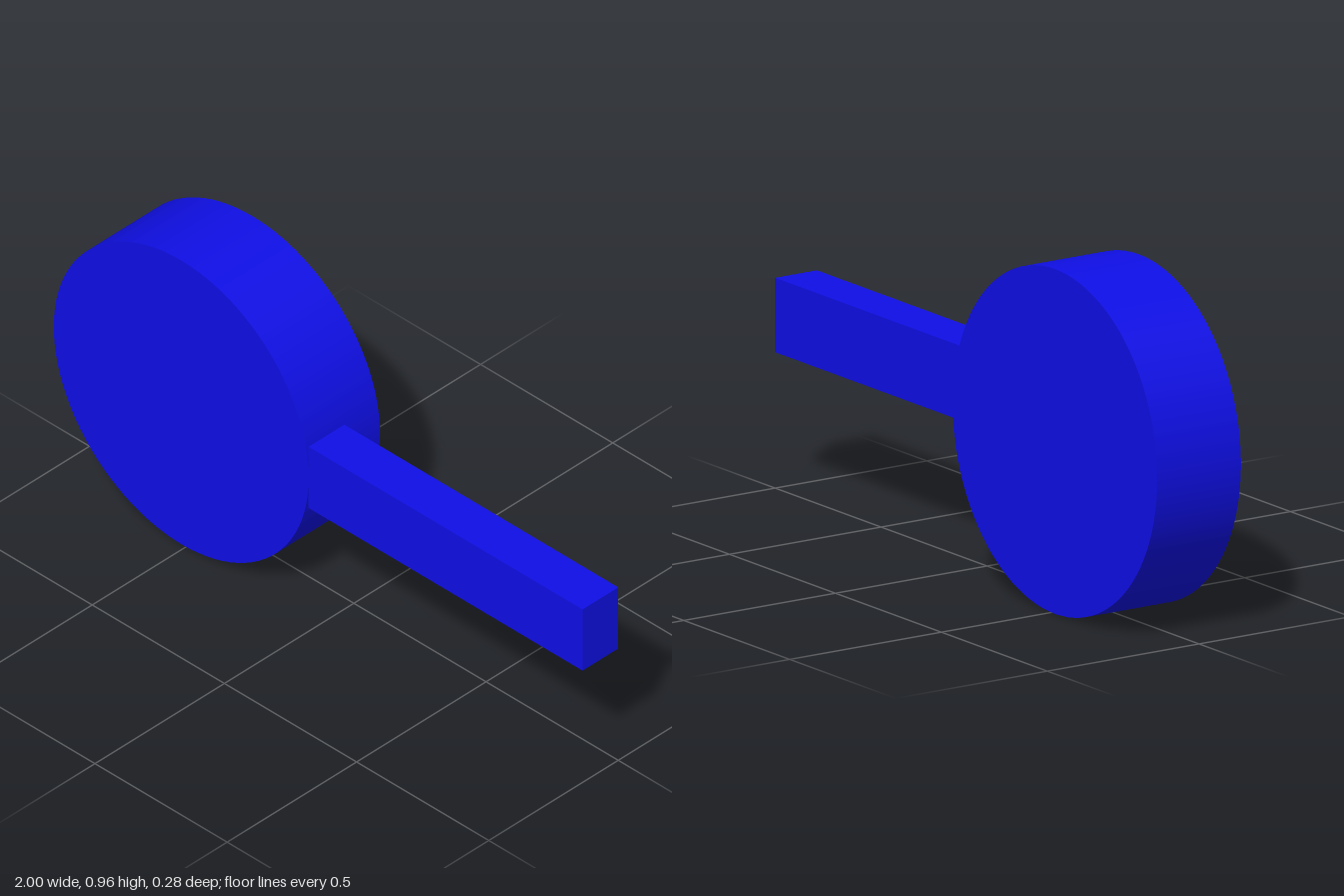
import * as THREE from 'three';

export function createModel() {
  const model = new THREE.Group();
  const blue = new THREE.MeshStandardMaterial({ color: 0x0f0fe6 });
  blue.name = 'blue';

  const add = (name, geometry, x, y, z) => {
    const mesh = new THREE.Mesh(geometry, blue);
    mesh.name = name;
    mesh.position.set(x, y, z);
    model.add(mesh);
  };

  // Round head, its flat faces turned to front and back
  const radius = 0.482;
  const depth = 0.276;
  const disc = new THREE.CylinderGeometry(radius, radius, depth, 96).rotateX(Math.PI / 2);
  add('disc', disc, radius - 1, radius, 0);

  // Straight handle, flush with the front face and touching the rim
  const length = 2 - 2 * radius;
  add('handle', new THREE.BoxGeometry(length, 0.208, depth / 2), 1 - length / 2, 0.484, depth / 4);

  return model;
}
